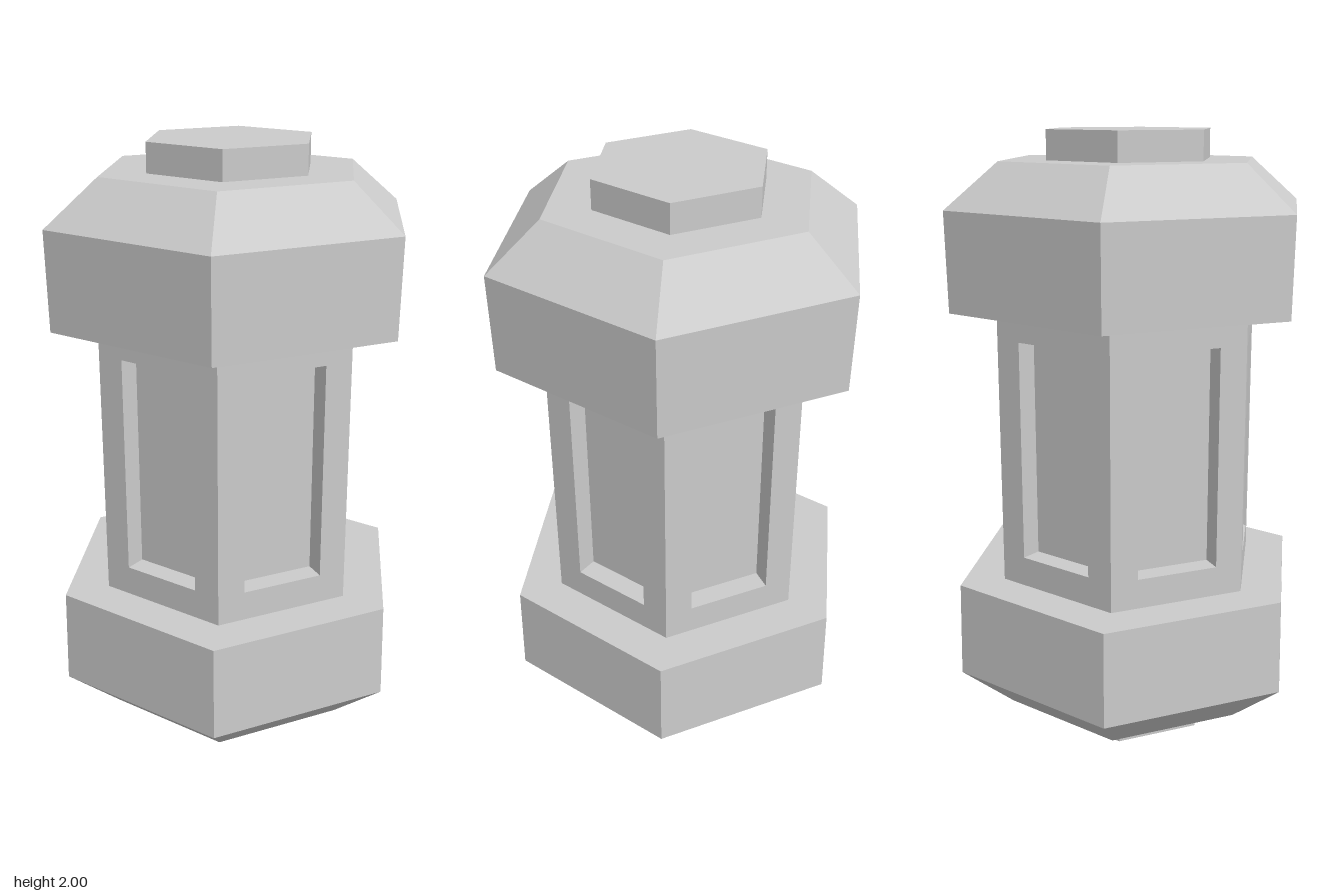
import * as THREE from 'three';

const SIDES = 6;
const APOTHEM = Math.cos(Math.PI / SIDES);
const BODY_RADIUS = 0.453, BODY_LOW = 0.548, BODY_HIGH = 1.452;
const RECESS = 0.07;

export function createModel() {
  const group = new THREE.Group();
  const material = new THREE.MeshStandardMaterial({ color: 0xcccccc, flatShading: true });

  const add = (name, geometry) => {
    const flat = geometry.index ? geometry.toNonIndexed() : geometry;
    flat.computeVertexNormals();
    const mesh = new THREE.Mesh(flat, material);
    mesh.name = name;
    group.add(mesh);
    return mesh;
  };

  // six-sided solid from a [radius, y] profile running upwards
  const hexLathe = (profile) =>
    new THREE.LatheGeometry(profile.map(([r, y]) => new THREE.Vector2(r, y)), SIDES);

  // end caps, mirrored top and bottom: knob, chamfer and slightly tapered collar
  const lower = [[0, 0], [0.28, 0], [0.28, 0.093], [0.435, 0.093],
    [0.61, 0.235], [0.604, BODY_LOW], [0, BODY_LOW]];
  const upper = lower.map(([r, y]) => [r, 2 - y]).reverse();
  add('bottomCap', hexLathe(lower));
  add('topCap', hexLathe(upper));

  // inner core, forming the floors of the recessed panels
  const coreRadius = BODY_RADIUS - RECESS / APOTHEM;
  add('core', hexLathe([[coreRadius, BODY_LOW], [coreRadius, BODY_HIGH]]));

  // framed wall with a rectangular opening
  const rectangle = (path, halfWidth, low, high) => path
    .moveTo(-halfWidth, low).lineTo(halfWidth, low)
    .lineTo(halfWidth, high).lineTo(-halfWidth, high).closePath();
  const frame = rectangle(new THREE.Shape(), BODY_RADIUS / 2, BODY_LOW, BODY_HIGH);
  frame.holes.push(rectangle(new THREE.Path(), 0.136, 0.645, 1.36));
  const wall = new THREE.ExtrudeGeometry(frame, { depth: RECESS, bevelEnabled: false });
  wall.translate(0, 0, BODY_RADIUS * APOTHEM - RECESS);

  // one wall on each side of the body
  for (let i = 0; i < SIDES; i++) {
    add('wallFrame' + (i + 1), wall.clone()).rotation.y = (i + 0.5) * Math.PI * 2 / SIDES;
  }

  return group;
}
